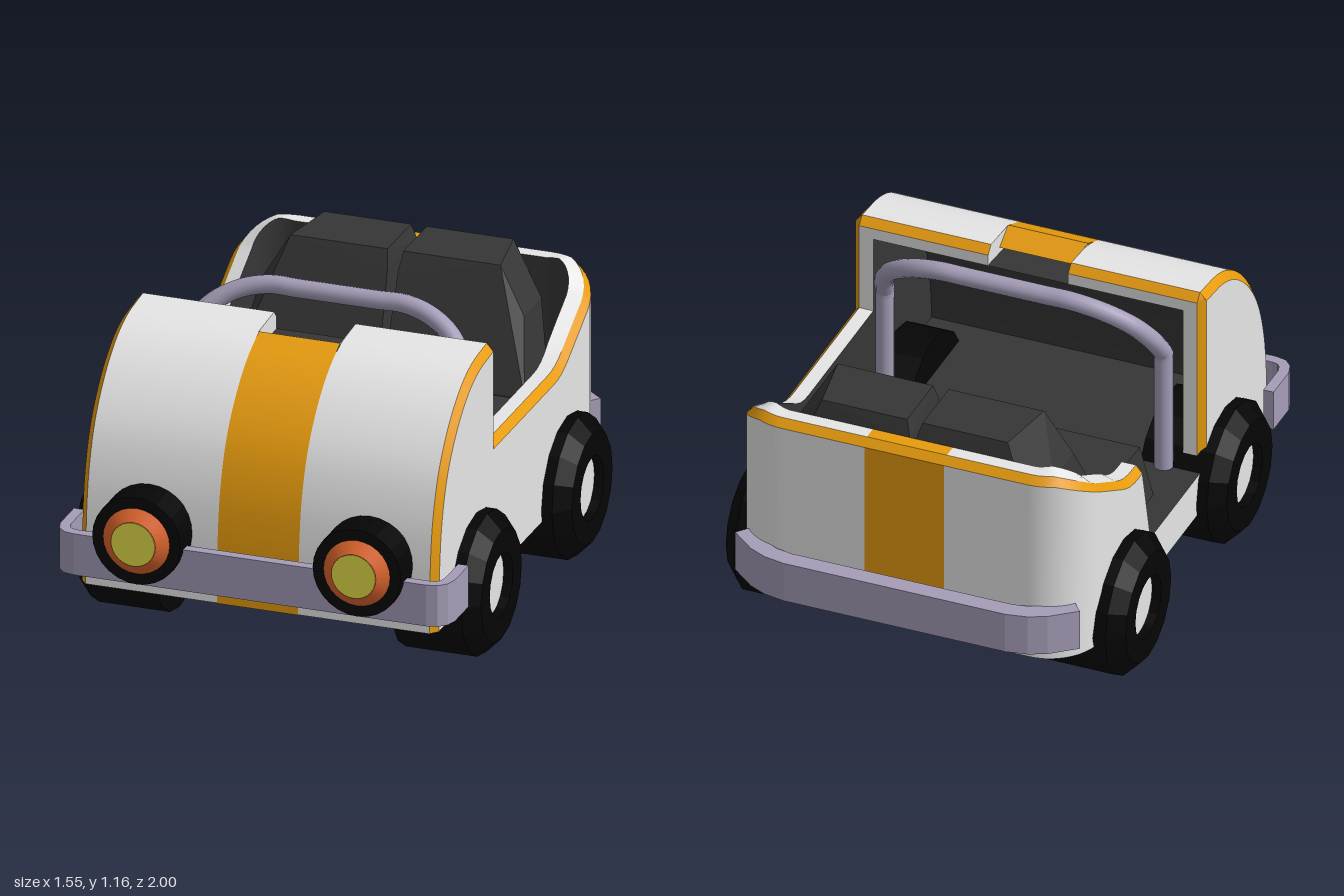
import * as THREE from 'three';
import { ConvexGeometry } from 'three/addons/geometries/ConvexGeometry.js';

const material = (name, color) =>
  new THREE.MeshStandardMaterial({ name, color, side: THREE.DoubleSide });

export function createModel() {
  const car = new THREE.Group();
  car.name = 'openCar';
  const white = material('bodyWhite', 0xe6e6e6);
  const amber = material('trimAmber', 0xe89c0e);
  const dark = material('interiorGrey', 0x363636);
  const black = material('tyreBlack', 0x050505);
  const lilac = material('bumperLilac', 0xa59db8);
  const orange = material('lampOrange', 0xe2682f);
  const yellow = material('lampYellow', 0xe6de48);

  const add = (name, geometry, mat, parent = car) => {
    const mesh = new THREE.Mesh(geometry, mat);
    mesh.name = name;
    parent.add(mesh);
    return mesh;
  };
  // Surface between matching rows of [x, y, z] points
  const loft = (name, a, b, mat) => {
    const index = [];
    for (let i = 0; i < a.length - 1; i++) {
      const j = i + a.length;
      index.push(i, j, i + 1, i + 1, j, j + 1);
    }
    const g = new THREE.BufferGeometry();
    g.setAttribute('position', new THREE.Float32BufferAttribute([...a, ...b].flat(), 3));
    g.setIndex(index);
    g.computeVertexNormals();
    return add(name, g, mat);
  };
  const hull = (name, points, mat) =>
    add(name, new ConvexGeometry(points.map((p) => new THREE.Vector3(...p))), mat);
  const shapeOf = (pts) => new THREE.Shape(pts.map((p) => new THREE.Vector2(p[0], p[1])));
  // Shift a polyline sideways, to the right of its direction
  const offset = (pts, d) => pts.map((p, i) => {
    const a = pts[Math.max(i - 1, 0)], b = pts[Math.min(i + 1, pts.length - 1)];
    const l = Math.hypot(b[0] - a[0], b[1] - a[1]);
    return [p[0] + (d * (b[1] - a[1])) / l, p[1] - (d * (b[0] - a[0])) / l];
  });

  const W = 0.68, WI = 0.655, S = 0.155, BASE = 0.226, FLOOR = 0.39, HZ = 0.262, RZ = 0.235;

  // Hood: profile in (z, y) swept across x, with chamfered trim
  const curve = new THREE.CatmullRomCurve3([[0.853, BASE], [0.842, 0.49], [0.815, 0.66],
    [0.755, 0.82], [0.65, 0.96], [0.53, 1.055], [0.42, 1.1], [HZ, 1.12]]
    .map(([z, y]) => new THREE.Vector3(z, y, 0)));
  const profile = curve.getPoints(35).map((p) => [p.x, p.y]);
  const inset = (d) => {
    const q = offset(profile, -d);
    q[0][1] = BASE;
    q[q.length - 1][0] = HZ;
    return q;
  };
  const edge = inset(0.03), inner = inset(0.075);
  inner.push([RZ, inner[inner.length - 1][1]]);
  const at = (pts, x) => pts.map(([z, y]) => [x, y, z]);
  const sideFace = (name, pts, x, mat) => {
    const g = new THREE.ShapeGeometry(shapeOf([...pts, [pts[pts.length - 1][0], BASE]]));
    g.rotateY(-Math.PI / 2);
    g.translate(x, 0, 0);
    add(name, g, mat);
  };
  for (const s of [1, -1]) {
    loft('hoodPanel', at(profile, s * S), at(profile, s * WI), white);
    loft('hoodTrim', at(profile, s * WI), at(edge, s * W), amber);
    sideFace('hoodSide', edge, s * W, white);
    sideFace('hoodInnerSide', inner, s * 0.6, dark);
    // rear edge of the hood
    loft('hoodRearTrim', [[s * S, 1.12, HZ], [s * WI, 1.12, HZ]],
      [[s * S, 1.09, RZ], [s * WI, 1.09, RZ]], amber);
    loft('hoodPostTrim', [[s * W, FLOOR, HZ], [s * W, 1.09, HZ], [s * WI, 1.12, HZ]],
      [[s * WI, FLOOR, RZ], [s * WI, 1.09, RZ], [s * WI, 1.09, RZ]], amber);
    loft('hoodRearLip', [[s * S, 1.09, RZ], [s * WI, 1.09, RZ]],
      [[s * S, 1.045, RZ], [s * WI, 1.045, RZ]], white);
    loft('hoodPost', [[s * WI, FLOOR, RZ], [s * WI, 1.05, RZ]],
      [[s * 0.6, FLOOR, RZ], [s * 0.6, 1.05, RZ]], white);
    loft('notchSide', [[s * S, 1.108, 0.42], [s * S, 1.12, HZ], [s * S, 1.09, RZ]],
      [[s * S, 1.02, 0.42], [s * S, 1.04, HZ], [s * S, 1.04, RZ]], white);
  }
  loft('hoodLining', at(inner, -0.6), at(inner, 0.6), dark);
  // Stripe ends in a ramp that dips into a notch at the hood's rear edge
  const stripe = [...profile.filter(([z]) => z > 0.45), [0.42, 1.108]];
  const ramp = [[0.42, 1.108], [0.34, 1.06]];
  loft('hoodStripe', at(stripe, -S), at(stripe, S), amber);
  loft('notchRamp', at(ramp, -S), at(ramp, S), amber);

  // Tub walls: plan points [x, z, normalX, normalZ] with a height rule
  const half = [HZ, -0.33, -0.36, -0.4, -0.44, -0.48, -0.52, -0.6, -0.66].map((z) => [W, z, 1, 0]);
  for (let i = 0; i <= 10; i++) {
    const a = (i / 10) * Math.PI / 2, c = Math.cos(a), n = Math.sin(a);
    half.push([0.48 + 0.2 * c, -0.708 - 0.2 * n, c, -n]);
  }
  half.push([S, -0.908, 0, -1]);
  const mirrored = half.map(([x, z, nx, nz]) => [-x, z, -nx, nz]);
  const height = (z) => {
    const t = -0.37 - z;
    if (t <= 0) return 0.74;
    return Math.min(0.988, t < 0.14 ? 0.74 + 1.98 * t * t : 0.779 + 0.555 * (t - 0.14));
  };
  const wall = (name, plan, paint) => {
    const row = (d, y) => plan.map(([x, z, nx, nz]) => [x - d * nx, y(height(z), nx), z - d * nz]);
    const bottom = row(0, () => BASE), shoulder = row(0, (h) => h - 0.03);
    const top = row(0.025, (h) => h);
    // the rim tilts up inward along the rising sides
    const lip = row(0.08, (h, nx) => h + 0.02 * Math.abs(nx) * Math.min(1, (h - 0.74) / 0.05));
    loft(name + 'Outside', bottom, shoulder, paint);
    loft(name + 'Trim', shoulder, top, amber);
    loft(name + 'Rim', top, lip, paint);
    loft(name + 'Lining', lip, row(0.08, () => FLOOR), dark);
  };
  wall('leftWall', half, white);
  wall('rightWall', mirrored.slice(1), white);
  wall('rearStripe', [half[half.length - 1], mirrored[mirrored.length - 1]], amber);

  // Open doorway on the right: sill and sloped wall end
  loft('doorSill', [[-W, BASE, HZ], [-W, BASE, -0.33]], [[-W, FLOOR, HZ], [-W, FLOOR, -0.33]], white);
  hull('doorwayEnd', [-W, -0.6].flatMap((x) => [[x, 0.71, -0.33], [x, FLOOR, -0.33], [x, FLOOR, -0.255]]), white);

  // Underside and floor
  const outline = [[WI, 0.853], [W, 0.823], ...half, ...mirrored.reverse(), [-W, 0.823], [-WI, 0.853]];
  add('underside', new THREE.ShapeGeometry(shapeOf(outline)).rotateX(Math.PI / 2), white).position.y = BASE;
  const floorPlan = outline.map(([x, z]) => [x, Math.min(z, 0.8)]).slice(1, -1)
    .map(([x, z]) => [z > HZ ? Math.sign(x) * 0.62 : x, z]);
  add('floor', new THREE.ShapeGeometry(shapeOf(floorPlan)).rotateX(Math.PI / 2), dark).position.y = FLOOR;
  add('undersideStripe', new THREE.BoxGeometry(2 * S, 0.003, 1.758), amber).position.set(0, BASE - 0.001, -0.028);

  // Seats
  for (const s of [1, -1]) {
    const side = (pts) => pts.map(([x, y, z]) => [s * x, y, z]);
    hull('seatCushion', side([[0.01, FLOOR, 0.01], [0.58, FLOOR, 0.01], [0.02, 0.6, -0.02], [0.54, 0.6, -0.02],
      [0.01, FLOOR, -0.6], [0.58, FLOOR, -0.6], [0.02, 0.62, -0.6], [0.54, 0.62, -0.6]]), dark);
    hull('seatBack', side([[0.01, FLOOR, -0.41], [0.56, FLOOR, -0.41], [0.01, 0.62, -0.41], [0.55, 0.62, -0.41],
      [0.58, FLOOR, -0.62], [0.45, FLOOR, -0.83], [0.01, FLOOR, -0.83], [0.02, 0.98, -0.54],
      [0.5, 0.88, -0.54], [0.5, 0.88, -0.72], [0.4, 0.95, -0.83], [0.01, 0.98, -0.83],
      [0.03, 1.05, -0.57], [0.4, 1.05, -0.57], [0.36, 1.05, -0.81], [0.03, 1.05, -0.81]]), dark);
  }

  // Hand rail: upright legs, then a straight slanted plane with rounded corners
  const slant = [[0.54, 0], [0.535, 0.12], [0.52, 0.33], [0.465, 0.66], [0.37, 0.89], [0.26, 1], [0.15, 1]]
    .map(([x, t]) => [x, 0.87 + 0.25 * t, 0.2 - 0.17 * t]);
  const rail = [[0.54, FLOOR, 0.2], [0.54, 0.6, 0.2], [0.54, 0.84, 0.2], ...slant];
  const railPath = [...rail, ...rail.slice().reverse().map(([x, y, z]) => [-x, y, z])];
  add('handRail', new THREE.TubeGeometry(new THREE.CatmullRomCurve3(
    railPath.map((p) => new THREE.Vector3(...p)), false, 'centripetal'), 100, 0.035, 12), lilac);

  // Bumpers: bent flat bars
  const bumper = (name, right, thickness) => {
    const path = [...right, ...right.slice().reverse().map(([x, z]) => [-x, z])];
    const bar = shapeOf([...path, ...offset(path, thickness).reverse()]);
    const g = new THREE.ExtrudeGeometry(bar, { depth: 0.16, bevelEnabled: false });
    g.rotateX(Math.PI / 2);
    add(name, g, lilac).position.y = 0.449;
  };
  bumper('frontBumper', [[0.752, 0.71], [0.752, 0.85], [0.74, 0.892], [0.712, 0.921], [0.67, 0.93]], -0.04);
  bumper('rearBumper', [[0.668, -0.878], [0.575, -0.955], [0.51, -0.985], [0.43, -1]], 0.07);

  // Lathe with flat facets
  const turned = (pts, sides) => {
    const g = new THREE.LatheGeometry(pts.map((p) => new THREE.Vector2(...p)), sides).toNonIndexed();
    g.computeVertexNormals();
    return g;
  };
  // Wheels with recessed hub caps
  const tyre = [[0, 0.45], [0.267, 0.45], [0.267, 0.72], [0.21, 0.775], [0.12, 0.775], [0.12, 0.73]];
  for (const s of [1, -1]) for (const [end, z] of [['front', 0.435], ['rear', -0.5]]) {
    const wheel = new THREE.Group();
    wheel.name = end + 'Wheel';
    wheel.position.set(0, 0.267, z);
    wheel.rotation.z = -s * Math.PI / 2;
    add('tyre', turned(tyre, 16), black, wheel);
    add('hubCap', new THREE.CylinderGeometry(0.12, 0.12, 0.008, 24), white, wheel).position.y = 0.735;
    car.add(wheel);
  }
  // Headlights
  for (const s of [1, -1]) {
    const lamp = new THREE.Group();
    lamp.name = 'headlight';
    lamp.position.set(s * 0.42, 0.472, 0);
    lamp.rotation.x = Math.PI / 2;
    add('lampHousing', turned([[0, 0.83], [0.168, 0.83], [0.168, 0.965], [0, 0.965]], 28), black, lamp);
    add('lampRing', new THREE.CylinderGeometry(0.085, 0.13, 0.035, 28), orange, lamp).position.y = 0.98;
    add('lampLens', new THREE.CylinderGeometry(0.083, 0.083, 0.005, 28), yellow, lamp).position.y = 0.9975;
    car.add(lamp);
  }
  return car;
}
